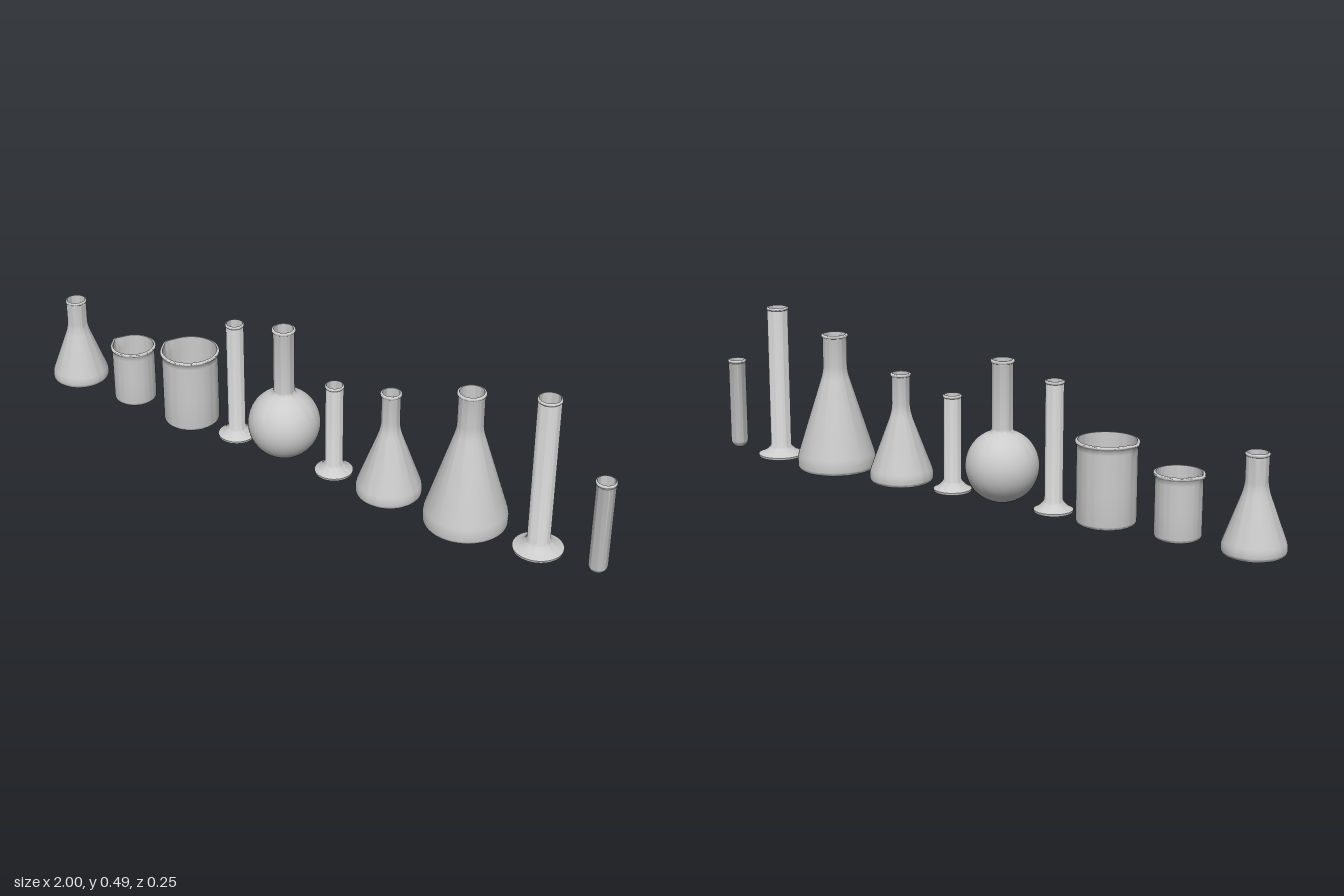
import * as THREE from 'three';
import { toCreasedNormals } from 'three/addons/utils/BufferGeometryUtils.js';

const WALL = 0.003;
const glass = new THREE.MeshStandardMaterial({ color: 0xcccccc });
const green = new THREE.MeshStandardMaterial({ color: 0x12c81f });

function lathe(points, deform) {
  const geo = new THREE.LatheGeometry(points.map(([r, y]) => new THREE.Vector2(r, y)), 64);
  if (deform) deform(geo.attributes.position);
  return toCreasedNormals(geo, 0.7);
}

// Points on a circular arc, angles in degrees
function arc(cx, cy, r, from, to, n) {
  return Array.from({ length: n + 1 }, (_, i) => {
    const a = THREE.MathUtils.degToRad(from + (to - from) * i / n);
    return [Math.max(0, cx + r * Math.cos(a)), cy + r * Math.sin(a)];
  });
}

// Rounded rim whose outer edge bulges by b beyond the tube radius r
const rim = (r, h, b) => arc(r + b - 0.005, h - 0.005, 0.005, -70, 90, 6);

// Inner wall, bottom to top
const inset = (outer, h) => outer.map(([r, y]) => [Math.max(0, r - WALL), Math.max(WALL, Math.min(y + WALL * 0.5, h))]);

// Glass shell with a filling of liquid up to the given level
function vessel(name, x, outer, lip, inner, level, deform) {
  const group = new THREE.Group();
  group.name = name;
  group.position.x = x;
  const shell = new THREE.Mesh(lathe([...outer, ...lip, ...[...inner].reverse()], deform), glass);
  shell.name = name + 'Glass';

  const fill = [];
  for (let i = 0; i < inner.length; i++) {
    const [r, y] = inner[i];
    if (y < level) { fill.push([r * 0.99, y + 0.0005]); continue; }
    const [r0, y0] = inner[i - 1];
    fill.push([(r0 + (r - r0) * (level - y0) / (y - y0)) * 0.99, level]);
    break;
  }
  fill.push([0, level]);
  const liquid = new THREE.Mesh(lathe(fill), green);
  liquid.name = name + 'Liquid';
  group.add(shell, liquid);
  return group;
}

// Conical flask: rounded foot, sloping body, soft shoulder, straight neck
function conicalFlask(name, x, R, neck, h, shoulder, bulge) {
  const f = 0.013, slopeY = R * 0.36;
  const curve = new THREE.QuadraticBezierCurve(
    new THREE.Vector2(neck + 0.008, shoulder - 0.025),
    new THREE.Vector2(neck, shoulder),
    new THREE.Vector2(neck, shoulder + 0.02));
  const outer = [[0, 0], ...arc(R - f, f, f, -90, 0, 6), [R, slopeY * 0.8], [R - 0.003, slopeY * 1.15],
    ...curve.getPoints(5).map(p => [p.x, p.y]), [neck, h - 0.013]];
  const inner = [...inset(outer, h), [neck - WALL, h]];
  return vessel(name, x, outer, rim(neck, h, bulge), inner, h * 0.4);
}

// Beaker with a pouring spout pulled out towards -x
function beaker(name, x, R, h) {
  const f = 0.012;
  const outer = [[0, 0], ...arc(R - f, f, f, -90, 0, 6), [R, h * 0.45],
    [R, h - 0.04], [R, h - 0.025], [R, h - 0.012]];
  const inner = [...inset(outer, h), [R - WALL, h]];
  const spout = pos => {
    for (let i = 0; i < pos.count; i++) {
      const px = pos.getX(i), pz = pos.getZ(i), y = pos.getY(i);
      const a = Math.atan2(pz, -px);
      const k = THREE.MathUtils.smoothstep(y, h - 0.04, h) * Math.exp(-((a / 0.22) ** 2));
      pos.setX(i, px - 0.008 * k);
    }
  };
  return vessel(name, x, outer, rim(R, h, 0.005), inner, h * 0.45, spout);
}

// Measuring cylinder on a flared foot with a hollowed underside
function measuringCylinder(name, x, base, R, h) {
  const flare = new THREE.QuadraticBezierCurve(
    new THREE.Vector2(base, 0.009), new THREE.Vector2(R + 0.008, 0.02), new THREE.Vector2(R, 0.038));
  const outer = [[0, 0.012], [base - 0.006, 0], [base - 0.001, 0.002], [base, 0.005],
    ...flare.getPoints(8).map(p => [p.x, p.y]), [R, h - 0.012]];
  const r = R - WALL;
  const inner = [[0, 0.02], [r - 0.006, 0.02], [r, 0.026], [r, h]];
  return vessel(name, x, outer, rim(R, h, 0.002), inner, h * 0.45);
}

// Round flask: spherical bulb with a straight neck
function roundFlask(name, x, R, neck, h) {
  const top = THREE.MathUtils.radToDeg(Math.acos((neck + 0.004) / R));
  const joinY = R + R * Math.sin(top * Math.PI / 180);
  const outer = [...arc(0, R, R, -90, top, 28), [neck + 0.001, joinY + 0.005], [neck, joinY + 0.012], [neck, h - 0.013]];
  const inner = [...arc(0, R, R - WALL, -90, top, 28), [neck - WALL, joinY + 0.012], [neck - WALL, h]];
  return vessel(name, x, outer, rim(neck, h, 0.004), inner, R);
}

// Test tube with a hemispherical end
function testTube(name, x, R, h) {
  const outer = [...arc(0, R, R, -90, 0, 12), [R, h - 0.011]];
  const inner = [...arc(0, R, R - WALL, -90, 0, 12), [R - WALL, h]];
  return vessel(name, x, outer, rim(R, h, 0.002), inner, h * 0.45);
}

export function createModel() {
  const model = new THREE.Group();
  model.name = 'laboratoryGlassware';
  model.add(
    conicalFlask('smallConicalFlask', -0.91, 0.09, 0.032, 0.283, 0.19, 0.002),
    beaker('smallBeaker', -0.677, 0.067, 0.19),
    beaker('largeBeaker', -0.446, 0.087, 0.245),
    measuringCylinder('mediumMeasuringCylinder', -0.268, 0.058, 0.027, 0.392),
    roundFlask('roundFlask', -0.087, 0.11, 0.032, 0.43),
    measuringCylinder('smallMeasuringCylinder', 0.095, 0.058, 0.027, 0.3),
    conicalFlask('mediumConicalFlask', 0.29, 0.098, 0.028, 0.34, 0.225, 0.004),
    conicalFlask('largeConicalFlask', 0.55, 0.123, 0.038, 0.43, 0.31, 0.004),
    measuringCylinder('largeMeasuringCylinder', 0.786, 0.073, 0.033, 0.49),
    testTube('testTube', 0.97, 0.028, 0.297),
  );
  return model;
}
